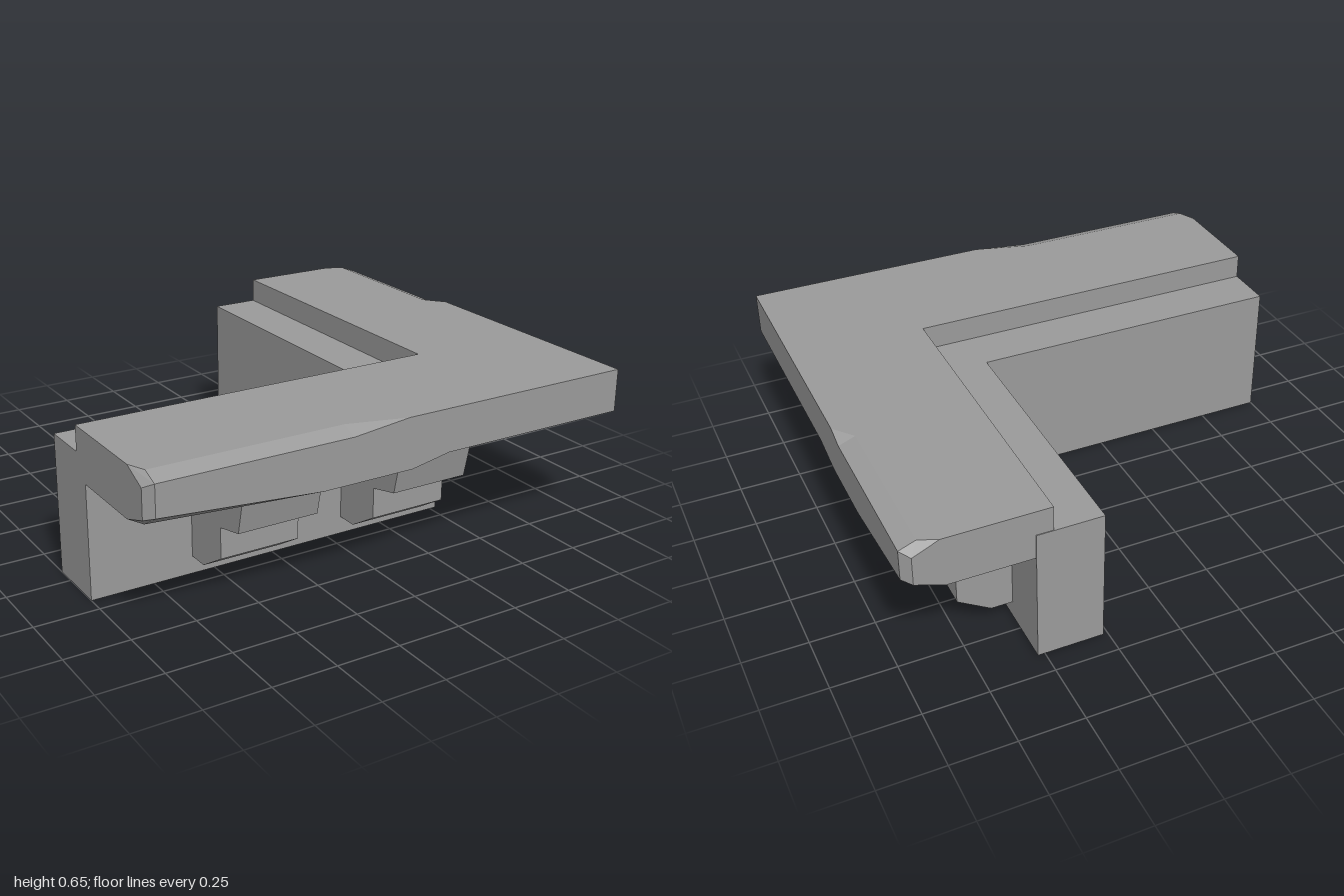
import * as THREE from 'three';

const material = new THREE.MeshStandardMaterial({ color: 0x9b9b9b, flatShading: true });

function addMesh(parent, geometry, name) {
  const mesh = new THREE.Mesh(geometry, material);
  mesh.name = name;
  parent.add(mesh);
  return mesh;
}

function shapeOf(points) {
  return new THREE.Shape(points.map(([x, y]) => new THREE.Vector2(x, y)));
}

// L-shaped wall, drawn in plan and extruded upwards
function wallGeometry() {
  const plan = shapeOf([[-1, -0.43], [0.527, -0.43], [0.527, 0.907], [0.268, 0.907], [0.268, -0.17], [-1, -0.17]]);
  return new THREE.ExtrudeGeometry(plan, { depth: 0.55, bevelEnabled: false }).rotateX(-Math.PI / 2);
}

// Stepped bracket: profile is distance from the wall against height
function bracketGeometry(width) {
  const profile = shapeOf([[-0.03, 0.07], [0.085, 0.07], [0.215, 0.15], [0.215, 0.272],
    [0.34, 0.3], [0.375, 0.46], [-0.03, 0.46]]);
  return new THREE.ExtrudeGeometry(profile, { depth: width, bevelEnabled: false });
}

// Each section: position along the arm, top inset, top drop, bottom rise, bottom inset, face inset
const frontSections = [
  [-1, 0.135, 0.045, 0.04, 0.15, 0.035],
  [-0.97, 0.065, 0.025, 0.053, 0.085, 0],
  [-0.33, 0.065, 0.025, 0, 0, 0],
  [-0.21, 0.065, 0.025, 0, 0, 0],
  [0.02, 0, 0, 0, 0, 0],
  [0.04, 0, 0, 0, 0, 0],
  [0.2, 0, 0, 0.03, 0.2, 0],
  [1, 0, 0, 0.03, 0.2, 0], // mitred corner
];
const sideSections = [
  [0.03, 0, 0, 0.03, 0.2, 0],
  [-0.13, 0, 0, 0, 0, 0],
  [-0.155, 0, 0, 0, 0, 0],
  [-0.235, 0.065, 0.025, 0, 0, 0],
  [-0.41, 0.065, 0.025, 0, 0, 0],
  [-0.875, 0.065, 0.025, 0.053, 0.085, 0],
  [-0.904, 0.135, 0.045, 0.04, 0.15, 0.035],
];

// Coping slab with chipped edges, lofted round the corner
function slabGeometry() {
  const inner = 0.54, top = 0.649, bottom = 0.45, cornerX = 1, cornerZ = 0.905;
  const ring = ([, topInset, drop, rise, bottomInset, face]) => [
    [inner, top], [topInset, top], [face, top - drop],
    [face, bottom + rise], [bottomInset, bottom], [inner, bottom]];
  const positions = [], indices = [];
  for (const s of frontSections)
    for (const [u, y] of ring(s)) positions.push(Math.min(s[0], cornerX - u), y, cornerZ - u);
  for (const s of sideSections)
    for (const [u, y] of ring(s)) positions.push(cornerX - u, y, s[0]);

  const n = 6, last = frontSections.length + sideSections.length - 1;
  for (let i = 0; i < last; i++) {
    for (let k = 0; k < n; k++) {
      const a = i * n + k, b = i * n + (k + 1) % n;
      indices.push(a, b, b + n, a, b + n, a + n);
    }
  }
  for (let k = 1; k < n - 1; k++) {
    indices.push(0, k + 1, k);
    indices.push(last * n, last * n + k, last * n + k + 1);
  }
  const geometry = new THREE.BufferGeometry();
  geometry.setAttribute('position', new THREE.Float32BufferAttribute(positions, 3));
  geometry.setIndex(indices);
  geometry.computeVertexNormals();
  return geometry;
}

export function createModel() {
  const model = new THREE.Group();
  model.name = 'cornerLedge';
  addMesh(model, wallGeometry(), 'wall');
  addMesh(model, slabGeometry(), 'copingSlab');

  // Brackets under the front arm
  for (const [x0, x1] of [[-0.592, -0.27], [0.062, 0.384]]) {
    const bracket = addMesh(model, bracketGeometry(x1 - x0), 'frontBracket');
    bracket.rotation.y = -Math.PI / 2;
    bracket.position.set(x1, 0, 0.43);
  }
  // Brackets under the side arm
  for (const [z0, z1] of [[-0.033, 0.289], [-0.68, -0.375]]) {
    const bracket = addMesh(model, bracketGeometry(z1 - z0), 'sideBracket');
    bracket.position.set(0.527, 0, z0);
  }
  return model;
}
